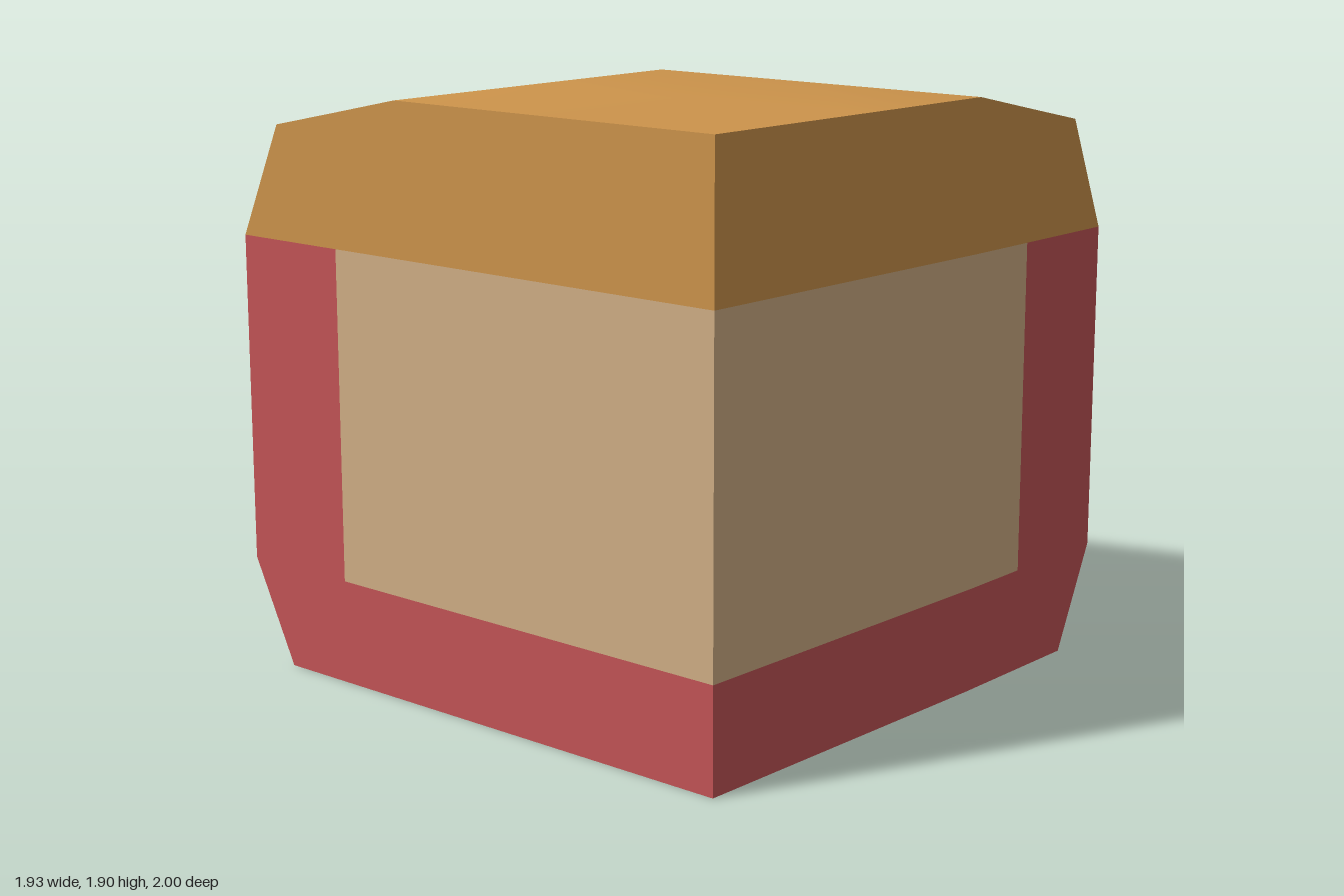
import * as THREE from 'three';

const mat = (name, color) => Object.assign(new THREE.MeshStandardMaterial({ color }), { name });

// Smooth patch from rows of points; pick(row, col) gives each cell's material index
function patch(name, rows, mats, pick) {
  const n = rows[0].length, index = [];
  const geo = new THREE.BufferGeometry();
  geo.setAttribute('position', new THREE.Float32BufferAttribute(rows.flat(2), 3));
  for (let r = 0; r < rows.length - 1; r++) {
    for (let c = 0; c < n - 1; c++) {
      const a = r * n + c;
      geo.addGroup(index.length, 6, pick(r, c));
      index.push(a, a + 1, a + n + 1, a, a + n + 1, a + n);
    }
  }
  geo.setIndex(index);
  geo.computeVertexNormals();
  const mesh = new THREE.Mesh(geo, mats);
  mesh.name = name;
  return mesh;
}

export function createModel() {
  const group = new THREE.Group();
  const crust = mat('crustTan', 0xcd944b);
  const skin = mat('skinRed', 0xc35456);
  const filling = mat('fillingBeige', 0xd1af86);
  const mats = [skin, crust, filling];

  // Plan outlines [x, z]: narrow at base and top rim, wide in the middle
  const narrow = [[0.8, 1], [0.8, 0.34], [0.54, -0.57], [-0.37, -0.83], [-0.97, -0.83]];
  const wide = [[0.965, 1], [0.965, 0.28], [0.68, -0.71], [-0.32, -1], [-0.97, -1]];
  const levels = [[0, narrow], [0.34, wide], [1.42, wide], [1.79, narrow]];

  // Bowed outer walls, meeting at a sharp corner
  const wall = (name, from) => patch(name,
    levels.map(([y, ring]) => ring.slice(from, from + 3).map(([x, z]) => [x, y, z])),
    mats, (r) => (r === 2 ? 1 : 0));
  group.add(wall('sideWall', 0), wall('backWall', 2));

  // Domed top
  const xs = [-0.97, -0.37, 0.26], zs = [1, 0.34, -0.29];
  const top = zs.map((z, i) => [
    ...xs.map((x, j) => [x, 1.905, i === 0 ? [0.97, 0.985, 1][j] : z]),
    [narrow[i][0], 1.79, narrow[i][1]],
  ]);
  top.push([4, 3, 2].map((k) => [narrow[k][0], 1.79, narrow[k][1]]));
  top[3].push(top[2][3]);
  // The outer corner is shared: the last cells fan to it
  top[2][3] = [narrow[1][0], 1.79, narrow[1][1]];
  top[1][3] = [0.8, 1.79, 0.34];
  top[3][2] = [-0.37, 1.79, -0.83];
  top[3][1] = [-0.37, 1.79, -0.83];
  group.add(patch('domedTop', top, mats, () => 1));

  // Flat base
  const base = new THREE.ShapeGeometry(new THREE.Shape(
    [[-0.97, 0.97], ...narrow].map(([x, z]) => new THREE.Vector2(x, z))));
  const baseMesh = new THREE.Mesh(base.rotateX(Math.PI / 2), skin);
  baseMesh.name = 'base';
  group.add(baseMesh);

  // Cut faces with the exposed filling
  const cutPick = (r, c) => (r === 2 ? 1 : r === 1 && c < 2 ? 2 : 0);
  const heights = [[0, 0, 0, 0], [0.34, 0.34, 0.34, 0.34], [1.42, 1.42, 1.42, 1.42], [1.905, 1.905, 1.845, 1.79]];
  const rim = [0.8, 0.965, 0.965, 0.8];
  group.add(patch('frontCut', heights.map((h, r) =>
    [-0.97, 0.26, 0.54, rim[r]].map((x, c) => [x, h[c], c ? 1 : 0.97])), mats, cutPick));
  const backRim = [-0.83, -1, -1, -0.83];
  group.add(patch('sideCut', heights.map((h, r) =>
    [0.97, -0.29, -0.57, backRim[r]].map((z, c) => [-0.97, h[c], z]).reverse()),
  mats, (r, c) => cutPick(r, 2 - c)));

  return group;
}
